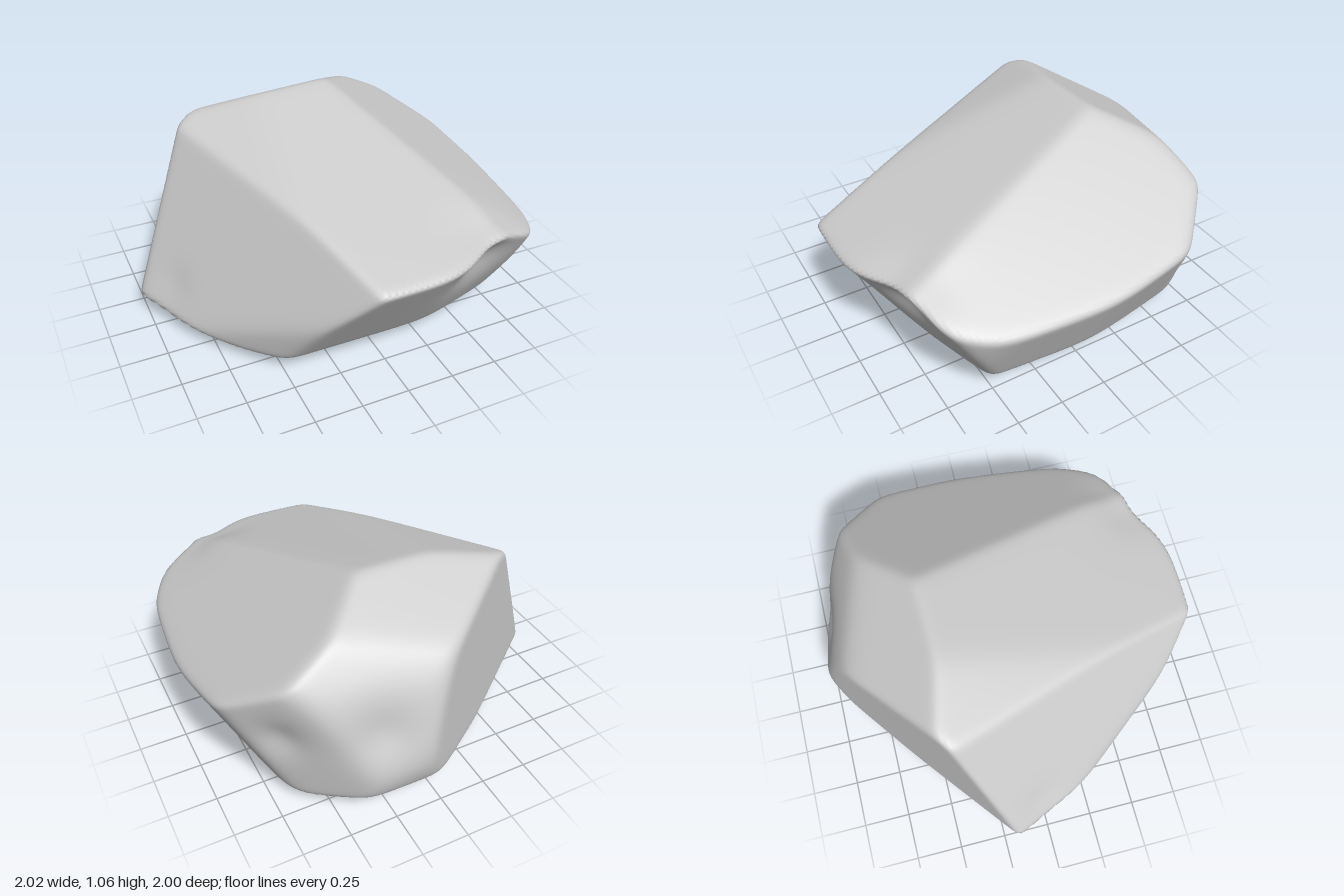
import * as THREE from 'three';
import { mergeVertices } from 'three/addons/utils/BufferGeometryUtils.js';

const CENTRE = new THREE.Vector3(0, 0.5, 0);
const SHARPNESS = 45; // higher gives crisper edges between facets

// A flat facet of the boulder: outward direction and distance from the centre
const facet = (x, y, z, distance) => new THREE.Vector3(x, y, z).normalize().divideScalar(distance);

const FACETS = [
  facet(-0.02, 0.954, 0.295, 0.414),    // top
  facet(-0.25, 0.95, 0.27, 0.465),      // top, right fall
  facet(0.513, 0.855, 0.085, 0.54),     // left slope
  facet(-0.795, 0.464, 0.389, 0.578),   // right face
  facet(-0.76, -0.1, 0.64, 0.845),      // lower front right corner
  facet(-0.61, 0.025, -0.792, 0.762),   // back right face
  facet(-0.05, 0.88, -0.47, 0.68),      // back slope
  facet(0.12, 0.6, -0.79, 0.85),        // back shoulder
  facet(0.15, 0.3, -0.94, 0.927),       // upper back
  facet(0.09, 0, -0.996, 1.018),        // lower back
  facet(0, -0.4, -0.92, 1.025),         // back foot
  facet(0.65, -0.1, -0.75, 0.995),      // back left face
  facet(0.9, -0.429, 0.075, 0.905),     // lower left face
  facet(0.888, -0.423, -0.179, 0.903),  // lower left face, rear half
  facet(0.82, -0.25, 0.5, 1.07),        // front left corner
  facet(-0.01, -0.558, 0.83, 0.778),    // front
  facet(0.262, -0.51, 0.818, 0.828),    // front left face
  facet(0, -1, 0, 0.503),               // underside
  facet(-0.112, -0.994, 0, 0.522),      // underside, right rise
  facet(0.258, -0.966, 0, 0.597),       // underside, left rise
  facet(0, -0.986, 0.168, 0.52),        // underside, front rise
  facet(0, -0.967, -0.256, 0.622),      // underside, back rise
];

// Shallow hollows worn into the surface
const DENTS = [
  { at: new THREE.Vector3(0.54, 0.57, 0.86), radius: 0.2, depth: 0.085 },
  { at: new THREE.Vector3(0.3, 0.48, -0.95), radius: 0.16, depth: 0.04 },
  { at: new THREE.Vector3(0.72, 0.45, -0.69), radius: 0.12, depth: 0.03 },
  { at: new THREE.Vector3(-0.95, 0.25, 0.02), radius: 0.12, depth: 0.02 },
];

// Distance from the centre to the softly blended facets
function reach(dir) {
  let sum = 0;
  for (const n of FACETS) sum += Math.max(0, n.dot(dir)) ** SHARPNESS;
  return sum ** (-1 / SHARPNESS);
}

// Point on the boulder in a given direction, hollows included
function surfacePoint(dir) {
  const p = dir.clone().multiplyScalar(reach(dir)).add(CENTRE);
  let sink = 0;
  for (const { at, radius, depth } of DENTS) {
    sink += depth * Math.exp(-p.distanceToSquared(at) / radius ** 2);
  }
  return p.addScaledVector(dir, -sink);
}

export function createModel() {
  // Shared vertices give smooth normals
  const sphere = new THREE.IcosahedronGeometry(1, 64);
  sphere.deleteAttribute('uv');
  sphere.deleteAttribute('normal');
  const geometry = mergeVertices(sphere, 1e-5);

  const pos = geometry.attributes.position;
  const dir = new THREE.Vector3();
  for (let i = 0; i < pos.count; i++) {
    const p = surfacePoint(dir.fromBufferAttribute(pos, i).normalize());
    pos.setXYZ(i, p.x, p.y, p.z);
  }
  geometry.computeVertexNormals();

  const boulder = new THREE.Mesh(geometry, new THREE.MeshStandardMaterial({ color: 0xcccccc }));
  boulder.name = 'boulder';
  const group = new THREE.Group();
  group.name = 'rock';
  group.add(boulder);
  return group;
}
